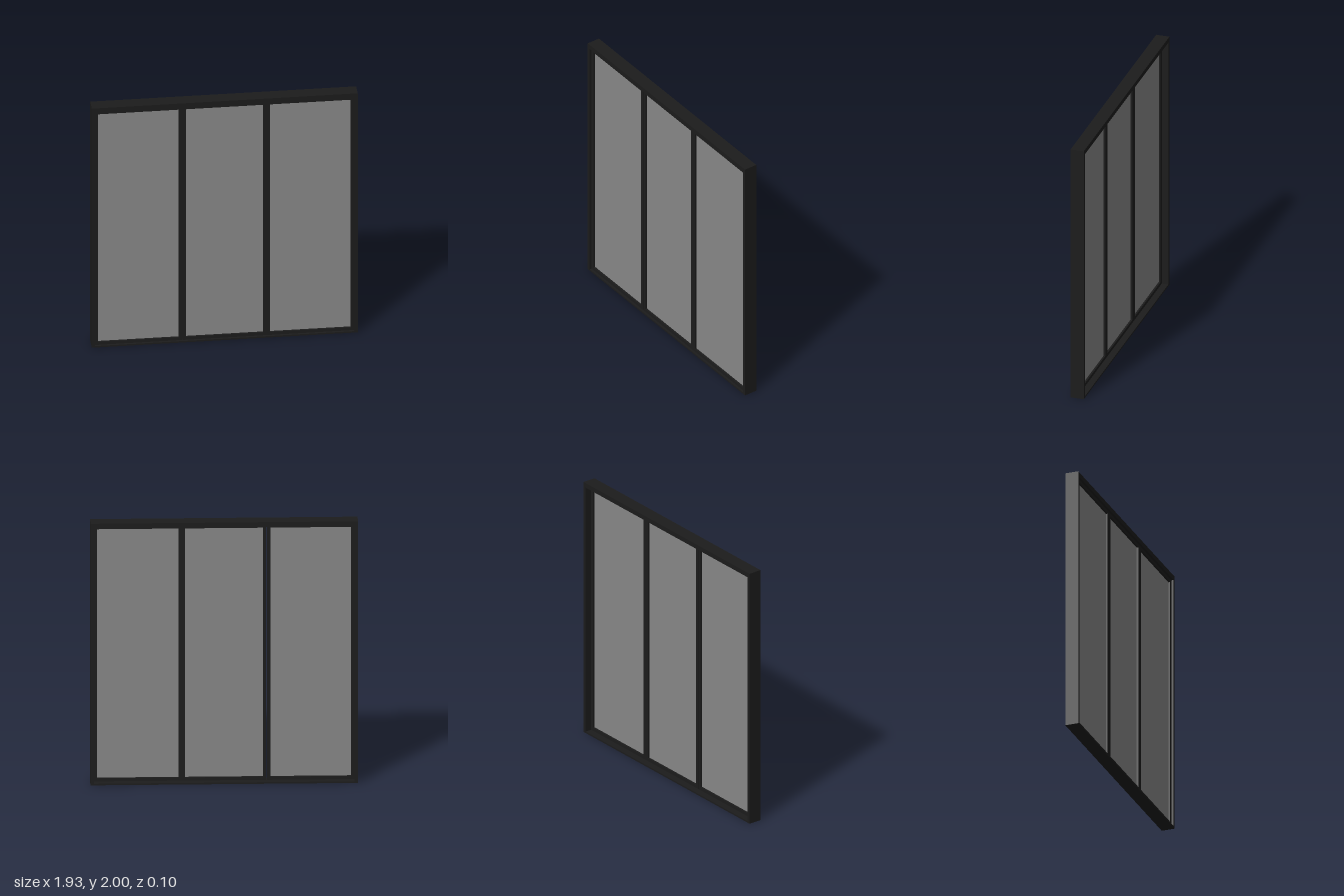
import * as THREE from 'three';

const darkMetal = new THREE.MeshStandardMaterial({ color: 0x1c1c1c });
const glassGrey = new THREE.MeshStandardMaterial({ color: 0x888888 });

// Rectangle outline, used for both frame edges and openings
function rect(Type, x0, y0, x1, y1) {
  const p = new Type();
  p.moveTo(x0, y0);
  p.lineTo(x1, y0);
  p.lineTo(x1, y1);
  p.lineTo(x0, y1);
  p.closePath();
  return p;
}

// Rectangular ring extruded from z0 to z1
function ring(name, outer, inner, z0, z1) {
  const shape = rect(THREE.Shape, ...outer);
  shape.holes.push(rect(THREE.Path, ...inner));
  const geo = new THREE.ExtrudeGeometry(shape, { depth: z1 - z0, bevelEnabled: false });
  geo.translate(0, 0, z0);
  const mesh = new THREE.Mesh(geo, darkMetal);
  mesh.name = name;
  return mesh;
}

export function createModel() {
  const model = new THREE.Group();
  model.name = 'slidingWindow';

  const W = 0.963, bottom = 0.012, top = 1.964, side = 0.939;
  const stile = 0.024, zBack = 0, zFront = 0.034, glassZ = 0.017;

  // Deep outer frame
  model.add(ring('outerFrame', [-W, 0, W, 2], [-side, bottom, side, top], -0.05, 0.05));

  // Three sashes, each with a pane; a narrow gap parts the first two
  const sashes = [
    ['rightSash', -side, -0.309],
    ['middleSash', -0.304, 0.304],
    ['leftSash', 0.304, side],
  ];
  for (const [name, x0, x1] of sashes) {
    const sash = new THREE.Group();
    sash.name = name;
    const inner = [x0 + stile, bottom + stile, x1 - stile, top - stile];
    sash.add(ring('sashFrame', [x0, bottom, x1, top], inner, zBack, zFront));

    const pane = new THREE.Mesh(
      new THREE.BoxGeometry(inner[2] - inner[0], inner[3] - inner[1], 0.006), glassGrey);
    pane.position.set((x0 + x1) / 2, (bottom + top) / 2, glassZ);
    pane.name = 'glassPane';
    sash.add(pane);
    model.add(sash);
  }
  return model;
}
